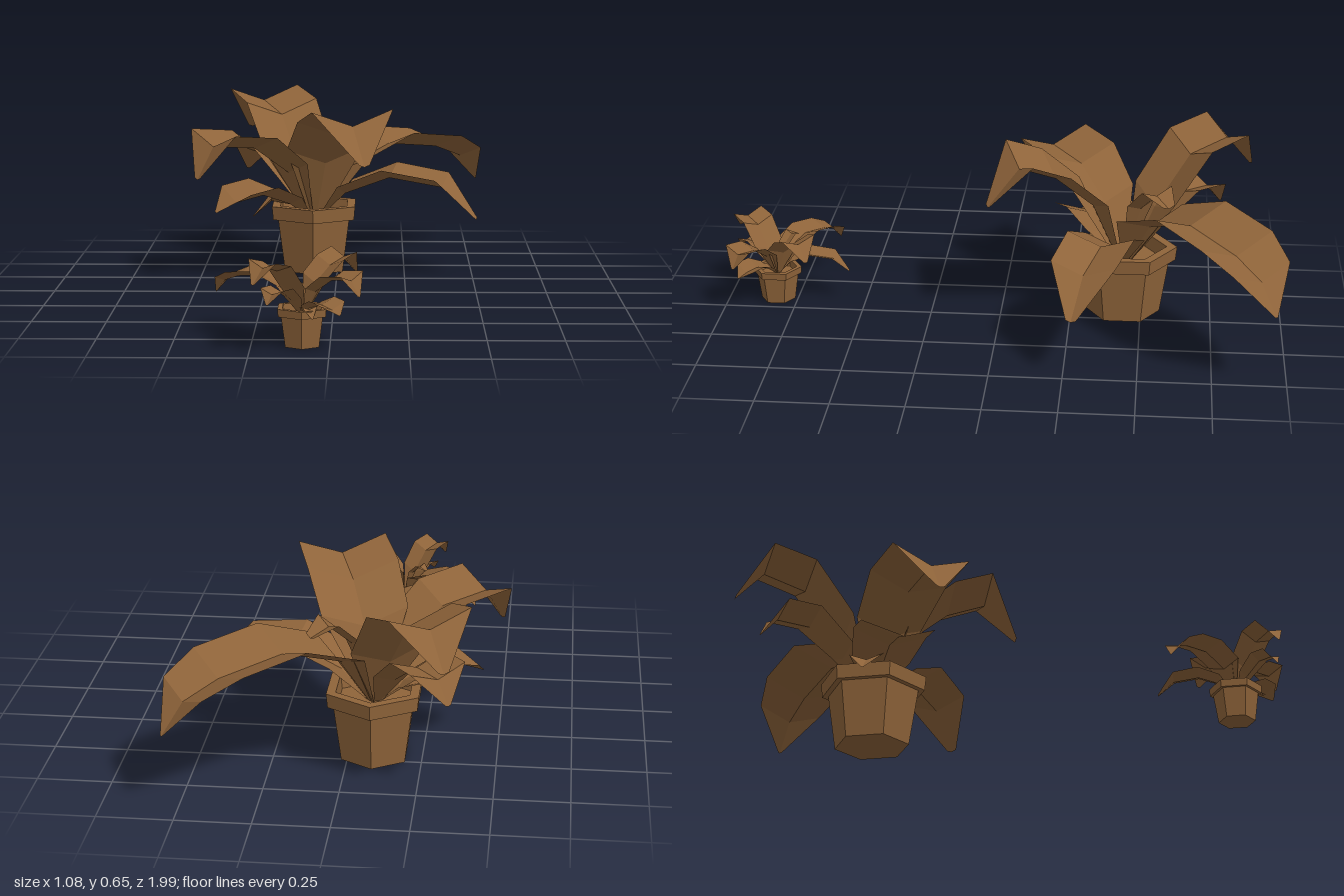
import * as THREE from 'three';

const brown = new THREE.MeshStandardMaterial({
  color: 0x8f643a, flatShading: true, side: THREE.DoubleSide,
});

// Folded leaf: rows of [distance from stem, height of the edges, share of the width]
function leaf(name, degrees, width, rows) {
  const a = THREE.MathUtils.degToRad(degrees);
  const dx = Math.cos(a), dz = Math.sin(a);
  const position = [], index = [];
  rows.forEach(([r, y, share], i) => {
    const half = width * share / 2;
    for (const s of [-1, 0, 1]) {
      const fold = s === 0 ? half * 0.36 : 0; // midrib lies below the edges
      position.push(dx * r - dz * half * s, y - fold, dz * r + dx * half * s);
    }
    if (i === 0) return;
    for (let j = 0; j < 2; j++) {
      const p = (i - 1) * 3 + j, q = p + 3;
      index.push(p, p + 1, q, q, p + 1, q + 1);
    }
  });
  const g = new THREE.BufferGeometry();
  g.setAttribute('position', new THREE.Float32BufferAttribute(position, 3));
  g.setIndex(index);
  g.computeVertexNormals();
  const mesh = new THREE.Mesh(g, brown);
  mesh.name = name;
  return mesh;
}

const ROOT = [0.02, 0.2, 0.15];
const LEAVES = [
  ['longLeaf', -39.5, 0.31, [ROOT, [0.14, 0.42, 0.95], [0.36, 0.5, 1], [0.6, 0.47, 1], [0.73, 0.41, 0.78], [0.81, 0.27, 0.04]]],
  ['sideLeaf', 15, 0.24, [ROOT, [0.12, 0.33, 0.9], [0.29, 0.4, 1], [0.49, 0.37, 0.95], [0.62, 0.22, 0.15]]],
  ['tallLeaf', 68, 0.32, [ROOT, [0.12, 0.47, 0.95], [0.26, 0.59, 1], [0.395, 0.64, 0.97], [0.51, 0.46, 0.12]]],
  ['broadLeaf', 142, 0.29, [ROOT, [0.12, 0.42, 0.85], [0.27, 0.53, 1], [0.45, 0.55, 1], [0.52, 0.39, 0.12]]],
  ['rearLeaf', 240, 0.3, [ROOT, [0.12, 0.43, 0.95], [0.26, 0.61, 1], [0.41, 0.65, 0.97], [0.51, 0.49, 0.12]]],
  ['lowLeaf', 152, 0.26, [ROOT, [0.1, 0.29, 0.8], [0.21, 0.34, 1], [0.32, 0.32, 1], [0.4, 0.245, 0.1]]],
  ['lowRearLeaf', 232, 0.21, [ROOT, [0.12, 0.34, 0.8], [0.25, 0.44, 1], [0.37, 0.44, 1], [0.43, 0.335, 0.1]]],
  ['youngLeaf', -38, 0.13, [[0.01, 0.22, 0.2], [0.09, 0.44, 0.9], [0.18, 0.52, 1], [0.25, 0.48, 0.4]]],
  ['shortLeaf', 176, 0.12, [ROOT, [0.08, 0.26, 0.8], [0.16, 0.28, 1], [0.23, 0.2, 0.1]]],
];

function plant(name, potScale, potTurn, lift) {
  const group = new THREE.Group();
  group.name = name;

  // Six-sided pot with a projecting rim and recessed soil
  const profile = [
    [0, 0], [0.13, 0], [0.16, 0.2], [0.182, 0.2], [0.187, 0.25],
    [0.15, 0.25], [0.143, 0.2], [0, 0.2],
  ].map(([r, y]) => new THREE.Vector2(r, y));
  const pot = new THREE.Mesh(new THREE.LatheGeometry(profile, 6), brown);
  pot.name = 'pot';
  pot.scale.set(...potScale);
  pot.rotation.y = THREE.MathUtils.degToRad(potTurn);
  group.add(pot);

  // Leaves fan out from the soil
  const foliage = new THREE.Group();
  foliage.name = 'foliage';
  foliage.position.y = lift;
  for (const args of LEAVES) foliage.add(leaf(...args));
  group.add(foliage);
  return group;
}

export function createModel() {
  const model = new THREE.Group();
  model.name = 'pottedPlants';

  const large = plant('largePlant', [0.95, 1, 1.01], 0, 0);
  large.position.set(-0.087, 0, -0.437);

  // Smaller copy, turned, with a relatively larger pot
  const small = plant('smallPlant', [1.12, 1.18, 1.12], 13, 0.045);
  small.position.set(-0.087, 0, 0.822);
  small.rotation.y = THREE.MathUtils.degToRad(-253);
  small.scale.setScalar(0.423);

  model.add(large, small);
  return model;
}
